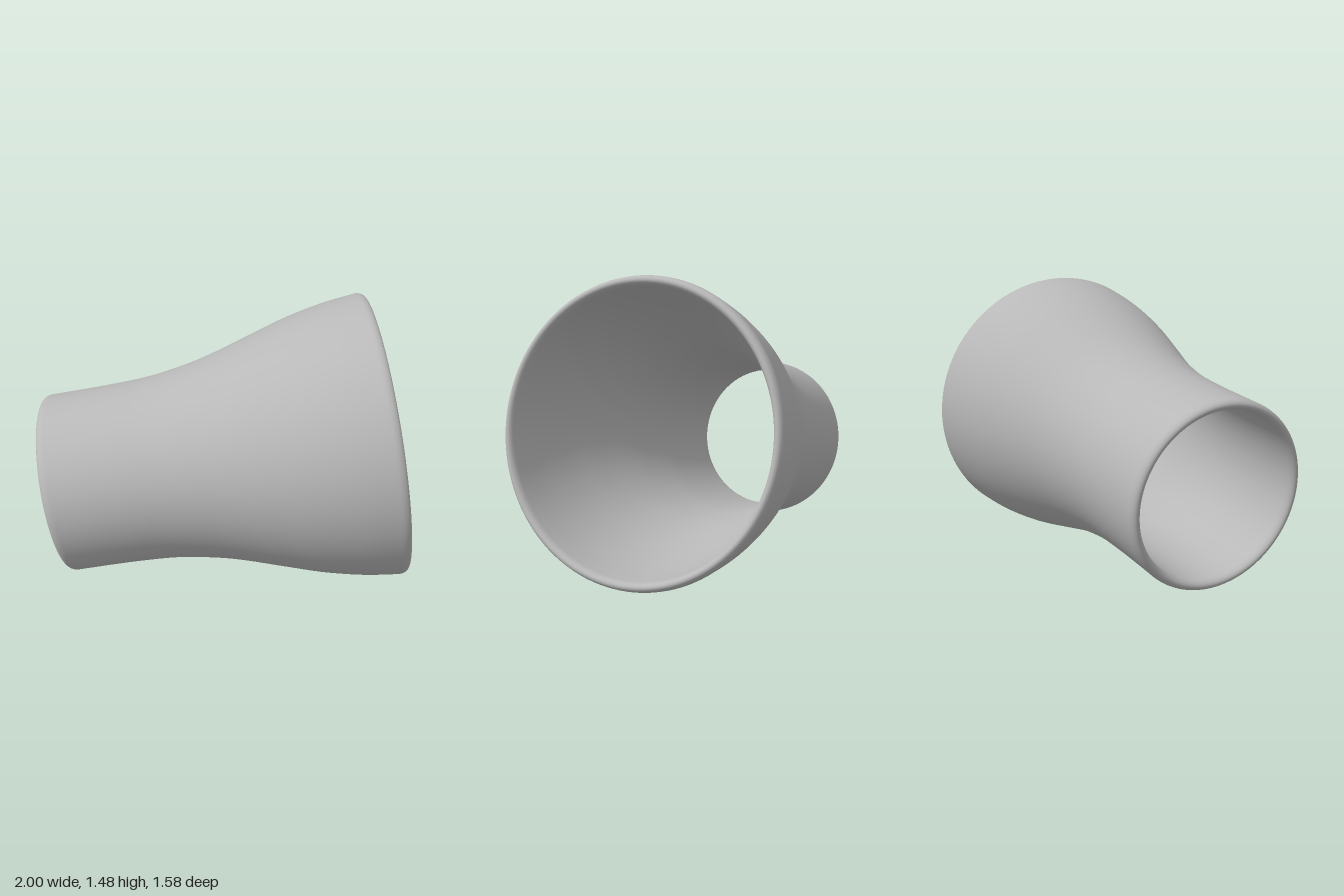
import * as THREE from 'three';

export function createModel() {
  const group = new THREE.Group();
  group.name = 'flaredSleeve';
  const grey = new THREE.MeshStandardMaterial({ color: 0xb8b8b8 });
  grey.name = 'plain grey';

  // Outer wall: distance along the axis, radius
  const outer = new THREE.SplineCurve([
    [-0.834, 0.475], [-0.66, 0.476], [-0.5, 0.479], [-0.3, 0.49], [-0.1, 0.522],
    [0.05, 0.559], [0.25, 0.621], [0.45, 0.681], [0.65, 0.724], [0.827, 0.746],
  ].map(([s, r]) => new THREE.Vector2(r, s))).getPoints(60);

  // Inner wall keeps a constant thickness; both lips are rounded
  const wall = 0.05, bulge = 0.04;
  const inner = outer.map(p => new THREE.Vector2(p.x - wall, p.y)).reverse();
  const lip = (p, side) => {
    const points = [];
    for (let i = 1; i < 12; i++) {
      const a = (i / 12) * Math.PI;
      points.push(new THREE.Vector2(
        p.x - wall / 2 + side * Math.cos(a) * wall / 2,
        p.y + side * Math.sin(a) * bulge));
    }
    return points;
  };
  const profile = [
    ...outer, ...lip(outer[outer.length - 1], 1),
    ...inner, ...lip(outer[0], -1), outer[0].clone(),
  ];

  // Hollow sleeve, lying along a tilted axis
  const sleeve = new THREE.Mesh(new THREE.LatheGeometry(profile, 128), grey);
  sleeve.name = 'sleeve';
  sleeve.quaternion.setFromUnitVectors(
    new THREE.Vector3(0, 1, 0), new THREE.Vector3(0.959, 0.157, -0.235).normalize());
  sleeve.position.set(-0.035, 0.61, 0.14);
  group.add(sleeve);
  return group;
}
